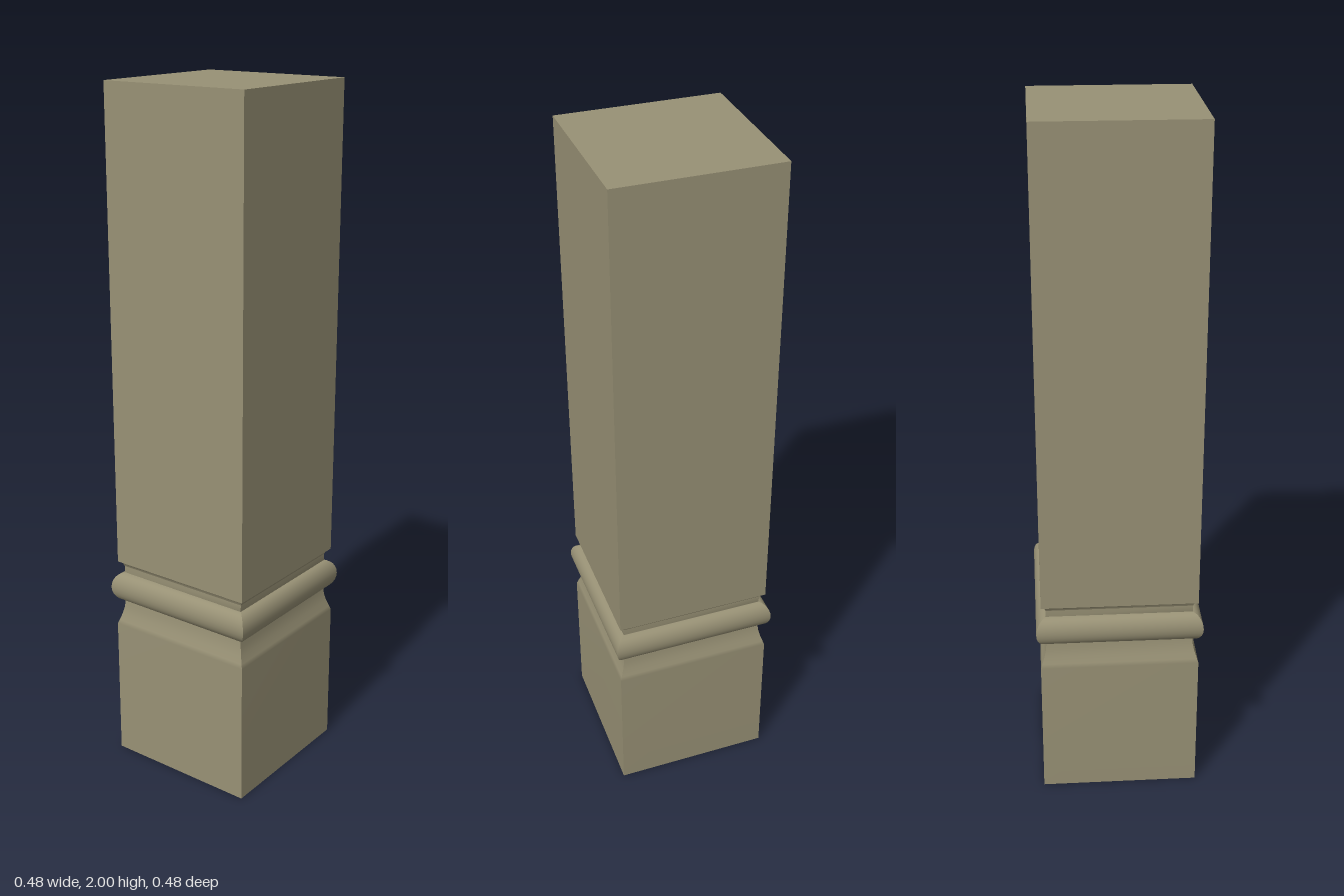
import * as THREE from 'three';
import { mergeGeometries } from 'three/addons/utils/BufferGeometryUtils.js';

// Square moulding: a [halfWidth, y] profile, smooth up each side and mitred at the corners
function squareMoulding(profile) {
  const positions = [], index = [];
  profile.forEach(([h, y], i) => {
    positions.push(-h, y, h, h, y, h);
    if (i === 0) return;
    const a = 2 * (i - 1);
    index.push(a, a + 1, a + 3, a, a + 3, a + 2);
  });
  const side = new THREE.BufferGeometry();
  side.setAttribute('position', new THREE.Float32BufferAttribute(positions, 3));
  side.setIndex(index);
  side.computeVertexNormals();
  return mergeGeometries([0, 1, 2, 3].map(k => side.clone().rotateY(k * Math.PI / 2)));
}

export function createModel() {
  const group = new THREE.Group();
  const stone = new THREE.MeshStandardMaterial({ color: 0x989175, side: THREE.DoubleSide });
  stone.name = 'khaki stone';

  const add = (name, geometry) => {
    const mesh = new THREE.Mesh(geometry, stone);
    mesh.name = name;
    group.add(mesh);
  };

  // Hollow plinth, open below, sweeping in to the neck
  add('plinth', squareMoulding([
    [0.23, 0], [0.23, 0.425], [0.226, 0.437], [0.219, 0.458], [0.214, 0.48], [0.212, 0.502],
  ]));

  // Rounded collar
  const collar = [];
  for (let i = 0; i <= 12; i++) {
    const a = -Math.PI / 2 + Math.PI * i / 12;
    collar.push([0.21 + 0.031 * Math.cos(a), 0.547 + 0.045 * Math.sin(a)]);
  }
  add('collar', squareMoulding(collar));

  // Narrow neck and the small slope under the shaft
  add('neck', squareMoulding([[0.21, 0.592], [0.212, 0.592], [0.212, 0.612]]));
  add('shaftLip', squareMoulding([[0.212, 0.612], [0.215, 0.62], [0.22, 0.626], [0.226, 0.628]]));

  // Plain shaft and its flat top
  add('shaft', squareMoulding([[0.226, 0.628], [0.226, 2]]));
  add('top', new THREE.PlaneGeometry(0.452, 0.452).rotateX(-Math.PI / 2).translate(0, 2, 0));

  return group;
}
